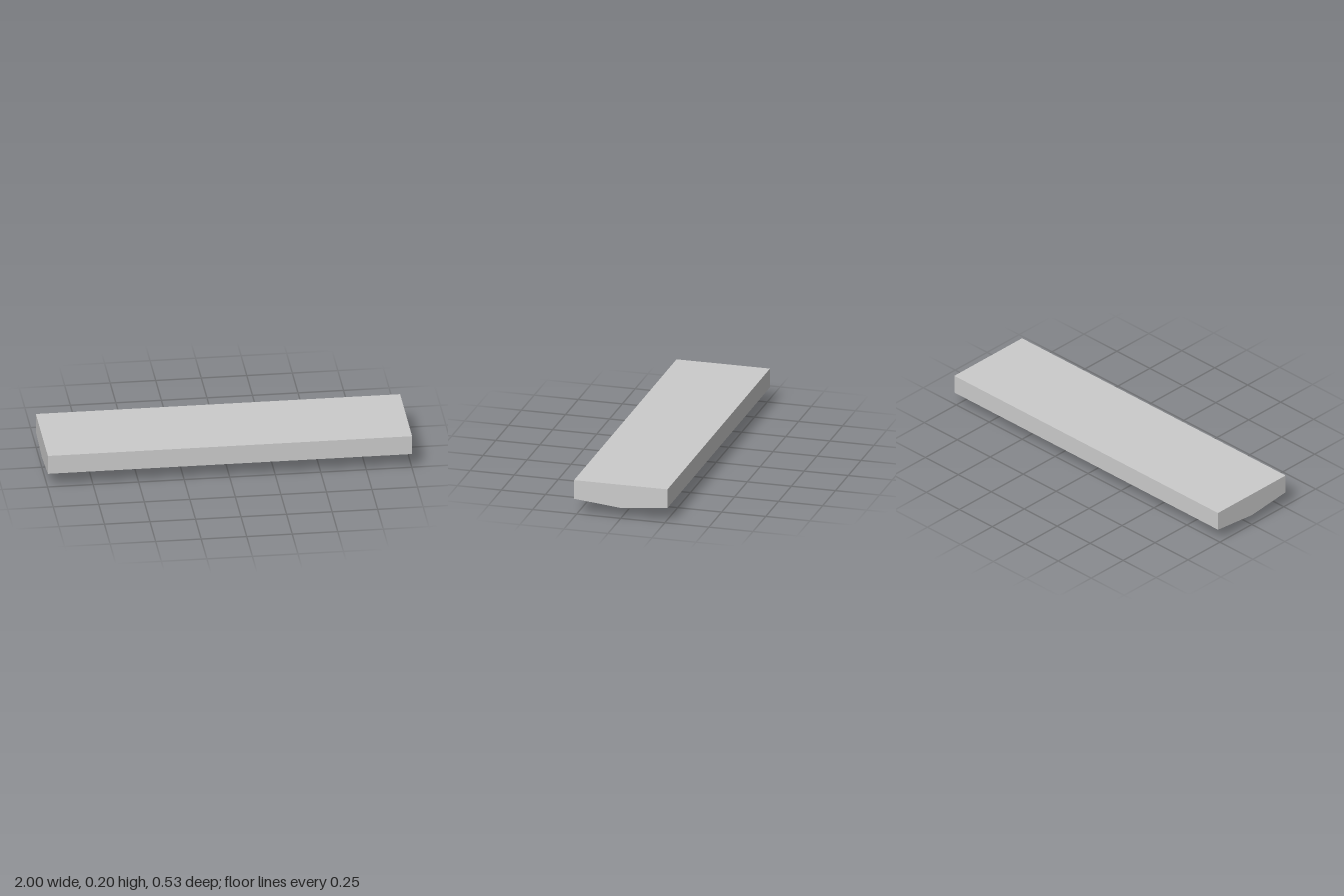
import * as THREE from 'three';

const material = new THREE.MeshStandardMaterial({ color: 0xcccccc });
const thin = new THREE.MeshStandardMaterial({ color: 0xcccccc, side: THREE.DoubleSide });

const HALF_W = 0.265, TOP = 0.195, EDGE = 0.087, KEEL = 0.06;
const OPEN_X = 0.885, OPEN_Z = 0.142, CEILING = 0.175;

// Extrudes a (z, y) outline along x, centred on the given x
function prism(name, points, length, x) {
  const shape = new THREE.Shape(points.map(([z, y]) => new THREE.Vector2(z, y)));
  const geo = new THREE.ExtrudeGeometry(shape, { depth: length, bevelEnabled: false });
  geo.translate(0, 0, -length / 2).rotateY(Math.PI / 2);
  const mesh = new THREE.Mesh(geo, material);
  mesh.name = name;
  mesh.position.x = x;
  return mesh;
}

export function createModel() {
  const model = new THREE.Group();
  model.name = 'ceilingLamp';

  // Housing: a channel in the middle, closed by a solid block at each end
  const housing = new THREE.Group();
  housing.name = 'housing';
  const lipY = KEEL + (EDGE - KEEL) * OPEN_Z / HALF_W;
  housing.add(prism('channel', [
    [-HALF_W, EDGE], [-OPEN_Z, lipY], [-OPEN_Z, CEILING], [OPEN_Z, CEILING],
    [OPEN_Z, lipY], [HALF_W, EDGE], [HALF_W, TOP], [-HALF_W, TOP],
  ], OPEN_X * 2, 0));
  const endLength = 1 - OPEN_X;
  for (const side of [-1, 1]) {
    housing.add(prism('endBlock', [
      [-HALF_W, EDGE], [0, KEEL], [HALF_W, EDGE], [HALF_W, TOP], [-HALF_W, TOP],
    ], endLength, side * (1 - endLength / 2)));
  }
  model.add(housing);

  // Light tube inside the recess
  const tube = new THREE.Mesh(new THREE.CylinderGeometry(0.055, 0.055, OPEN_X * 2 - 0.04, 16), material);
  tube.name = 'lightTube';
  tube.rotation.z = Math.PI / 2;
  tube.position.y = 0.125;
  model.add(tube);

  // Sockets holding the tube
  for (const side of [-1, 1]) {
    const socket = new THREE.Mesh(new THREE.CylinderGeometry(0.03, 0.03, 0.03, 12), material);
    socket.name = 'socket';
    socket.rotation.z = Math.PI / 2;
    socket.position.set(side * (OPEN_X - 0.01), 0.125, 0);
    model.add(socket);
  }

  // Row of curved guard bars below the opening
  const arc = Math.PI / 2;
  const bar = new THREE.TorusGeometry(0.208, 0.024, 4, 4, arc);
  bar.rotateZ(-Math.PI / 2 - arc / 2).rotateY(Math.PI / 2).scale(0.8, 1, 1);
  const guard = new THREE.Group();
  guard.name = 'guard';
  for (let i = -7; i <= 7; i++) {
    const mesh = new THREE.Mesh(bar, thin);
    mesh.name = 'guardBar';
    mesh.position.set(i * 0.12, 0.232, 0);
    guard.add(mesh);
  }
  model.add(guard);

  return model;
}
